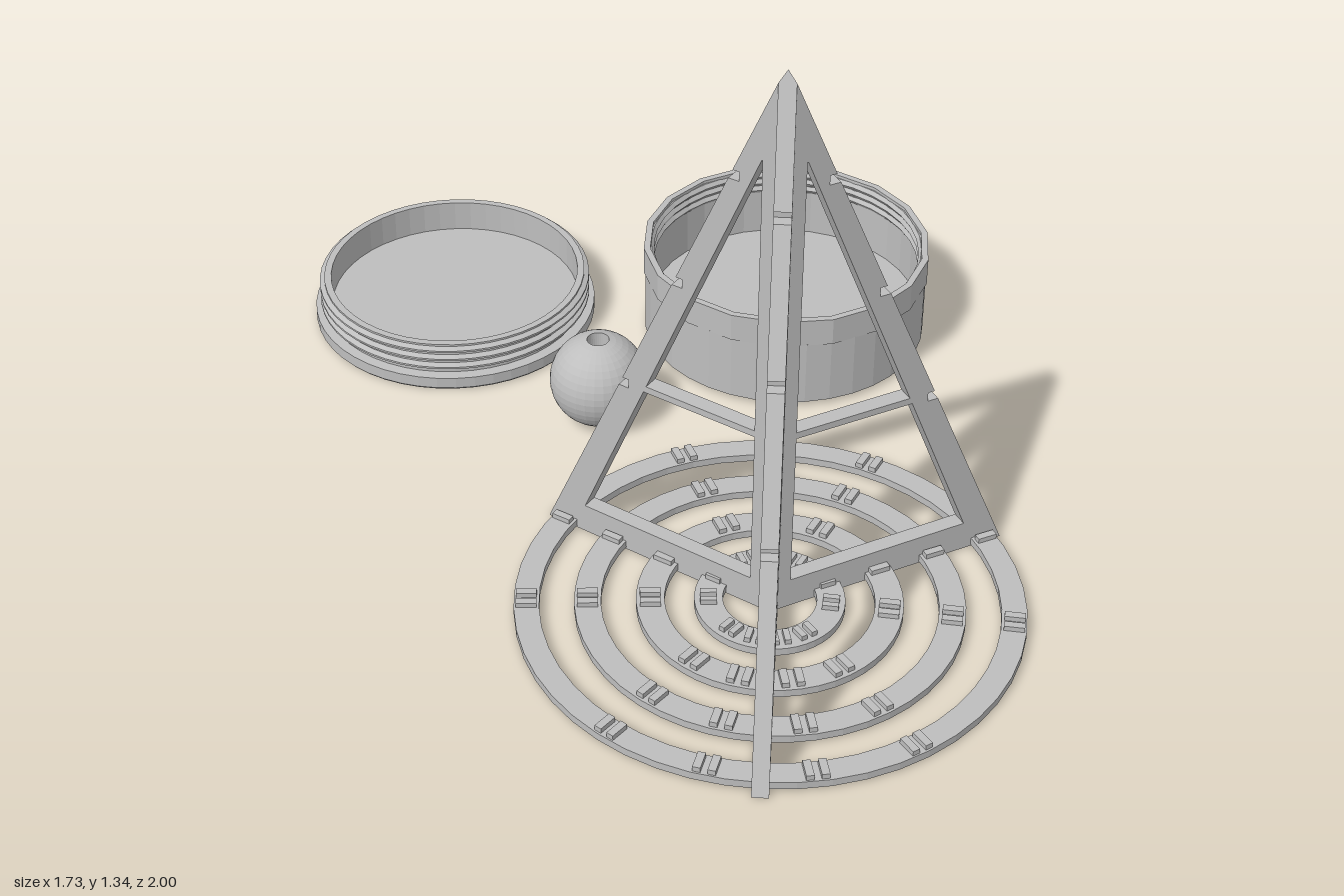
import * as THREE from 'three';

const grey = new THREE.MeshStandardMaterial({ color: 0xbebebe });
grey.name = 'plain grey';

function add(parent, geometry, name) {
  const flat = geometry.index ? geometry.toNonIndexed() : geometry;
  flat.computeVertexNormals();
  const mesh = new THREE.Mesh(flat, grey);
  mesh.name = name;
  parent.add(mesh);
  return mesh;
}

function group(parent, name, x, z) {
  const g = new THREE.Group();
  g.name = name;
  g.position.set(x, 0, z);
  parent.add(g);
  return g;
}

const lathe = (points, sides) =>
  new THREE.LatheGeometry(points.map(([x, y]) => new THREE.Vector2(x, y)), sides);

// Closed ring with a rectangular section
const ring = (inner, outer, y0, y1, sides) =>
  lathe([[inner, y0], [outer, y0], [outer, y1], [inner, y1], [inner, y0]], sides);

const H = 1.338, R = 0.576, T = 0.036;
const outerR = y => R * (1 - y / H);
const innerR = y => 0.476 - (y - 0.072) * 0.41;

// Triangular frame: slotted sloping bar, upright, base bar and cross bar
function finGeometry() {
  const s = new THREE.Shape();
  s.moveTo(0, 0);
  s.lineTo(R, 0);
  for (const y of [0.46, 0.77, 1.075]) {
    const a = y - 0.011, b = y + 0.011, depth = outerR(b) - 0.016;
    s.lineTo(outerR(a), a);
    s.lineTo(depth, a);
    s.lineTo(depth, b);
    s.lineTo(outerR(b), b);
  }
  s.lineTo(0, H);
  s.closePath();
  const opening = (a, b) => new THREE.Path([
    new THREE.Vector2(0.04, a), new THREE.Vector2(0.04, b),
    new THREE.Vector2(innerR(b), b), new THREE.Vector2(innerR(a), a)]);
  s.holes.push(opening(0.072, 0.455), opening(0.471, 1.13));
  const g = new THREE.ExtrudeGeometry(s, { depth: T, steps: 2, bevelEnabled: false });
  g.translate(0, 0, -T / 2);
  // Mitre the inner edge so three fins meet in a point
  const p = g.attributes.position;
  for (let i = 0; i < p.count; i++) {
    const r = Math.abs(p.getZ(i)) / Math.sqrt(3);
    if (p.getX(i) < r) {
      p.setX(i, r);
      if (p.getY(i) > 1.3) p.setY(i, outerR(r) > 0 ? H * (1 - r / R) : H);
    }
  }
  return g;
}

function addTree(root) {
  const tree = group(root, 'treeStand', 0.31, 0.424);
  for (let i = 0; i < 3; i++) {
    add(tree, finGeometry(), 'treeFin').rotation.y = -Math.PI / 2 + i * Math.PI * 2 / 3;
  }
  // Flat rings with pairs of small clips, angles measured from the back
  const angles = [0, 24, 62, 95, 144, 168, -24, -62, -95, -144, -168];
  const rings = [[0.5, 0.555], [0.366, 0.424], [0.228, 0.29], [0.102, 0.164]];
  rings.forEach(([inner, outer], k) => {
    add(tree, ring(inner, outer, 0.004, 0.022, 48), 'branchRing');
    const mid = (inner + outer) / 2, size = k === 3 ? 0.8 : 1;
    for (const deg of angles) {
      const clip = new THREE.Group();
      clip.name = 'ringClip';
      clip.rotation.y = -THREE.MathUtils.degToRad(deg);
      for (const side of [-1, 1]) {
        const box = new THREE.BoxGeometry(0.017 * size, 0.014, 0.045 * size);
        add(clip, box, 'clipTab').position.set(side * 0.016 * size, 0.027, -mid);
      }
      tree.add(clip);
    }
  });
}

// Open round box with a faceted collar and a spoked foot
function addContainer(root) {
  const c = group(root, 'container', 0.31, -0.642);
  add(c, lathe([[0, 0.012], [0.347, 0.012], [0.347, 0.18], [0.338, 0.18], [0.338, 0.24],
    [0.332, 0.24], [0.325, 0.23], [0.332, 0.22], [0.325, 0.21], [0.332, 0.2],
    [0.325, 0.19], [0.332, 0.18], [0.332, 0.062], [0, 0.062]], 36), 'containerBody');
  add(c, ring(0.336, 0.352, 0.178, 0.248, 18), 'containerCollar');
  add(c, ring(0.178, 0.193, 0, 0.014, 36), 'footRing');
  for (let i = 0; i < 3; i++) {
    const spoke = new THREE.BoxGeometry(0.185, 0.014, 0.022).translate(0.0925, 0.007, 0);
    add(c, spoke, 'footSpoke').rotation.y = -Math.PI / 2 + i * Math.PI * 2 / 3;
  }
}

// Screw lid lying upside down
function addLid(root) {
  const lid = group(root, 'lid', -0.517, -0.65);
  const profile = [[0, 0], [0.345, 0], [0.35, 0.006], [0.35, 0.034], [0.325, 0.036]];
  for (const y of [0.046, 0.07, 0.094]) {
    profile.push([0.325, y], [0.337, y + 0.006], [0.337, y + 0.011], [0.325, y + 0.017]);
  }
  profile.push([0.325, 0.116], [0.308, 0.116], [0.308, 0.036], [0, 0.036]);
  add(lid, lathe(profile, 48), 'lidBody');
}

// Ball bored through from top to bottom
function addBall(root) {
  const ball = group(root, 'ball', -0.118, -0.223);
  const r = 0.115, start = Math.asin(0.026 / r), n = 18, pts = [];
  for (let i = 0; i <= n; i++) {
    const a = start + (Math.PI - 2 * start) * i / n;
    pts.push([r * Math.sin(a), 0.114 - r * Math.cos(a)]);
  }
  pts.push(pts[0]);
  add(ball, lathe(pts, 32), 'boredBall');
}

export function createModel() {
  const root = new THREE.Group();
  root.name = 'treeKit';
  addTree(root);
  addContainer(root);
  addLid(root);
  addBall(root);
  return root;
}
